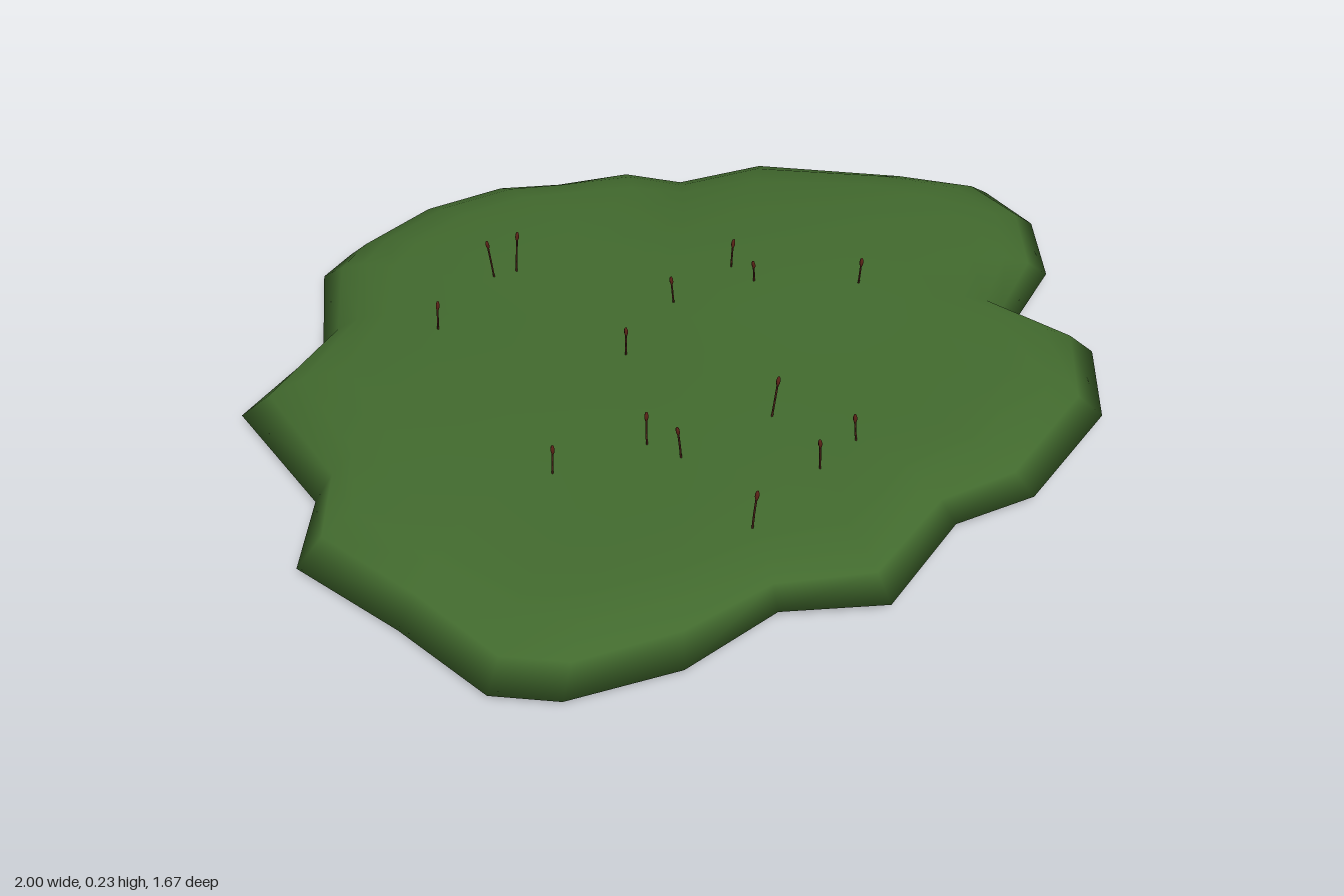
import * as THREE from 'three';

const green = new THREE.MeshStandardMaterial({ color: 0x426a2e, name: 'mossGreen' });
const brown = new THREE.MeshStandardMaterial({ color: 0x4a2418, name: 'stalkBrown' });
const rust = new THREE.MeshStandardMaterial({ color: 0x5a2216, name: 'capsuleRust' });

// Lobed outline of the patch as [x, z]
const outline = [
  [-0.11, -0.84], [0.09, -0.79], [0.21, -0.70], [0.38, -0.62], [0.46, -0.50], [0.66, -0.41],
  [0.90, -0.11], [1.0, 0.05], [0.98, 0.21], [0.83, 0.37], [0.62, 0.44], [0.67, 0.62],
  [0.50, 0.77], [0.19, 0.83], [0.02, 0.77], [-0.24, 0.83], [-0.41, 0.70], [-0.63, 0.68],
  [-0.84, 0.59], [-0.93, 0.49], [-0.95, 0.25], [-1.0, -0.01], [-0.87, -0.14], [-0.83, -0.48],
  [-0.57, -0.56], [-0.42, -0.78], [-0.32, -0.82],
];

const bump = (x, z, cx, cz, r) => Math.exp(-((x - cx) ** 2 + (z - cz) ** 2) / (r * r));

// Gently rolling upper surface
function topHeight(x, z) {
  return 0.112 + 0.022 * bump(x, z, -0.52, -0.1, 0.4) + 0.022 * bump(x, z, 0.4, 0.0, 0.36)
    + 0.008 * bump(x, z, -0.1, -0.5, 0.3) - 0.025 * bump(x, z, 0.43, -0.42, 0.13)
    - 0.02 * bump(x, z, -0.28, 0.62, 0.18);
}
const baseHeight = (x, z) => 0.013 + 0.009 * Math.sin(7 * x + 1.3) * Math.cos(6 * z - 0.6);

// Rings from the underside, around the thin rim, to the crown:
// inset from the outline, height as a share of the local thickness
const rings = [
  { inset: 0.5, t: 0 }, { inset: 0.13, t: 0 }, { inset: 0, rim: true },
  { inset: 0.055, t: 0.62 }, { inset: 0.12, t: 0.88 }, { inset: 0.21, t: 1 },
  { inset: 0.38, t: 1 }, { inset: 0.55, t: 1 }, { inset: 0.7, t: 1 }, { inset: 0.85, t: 1 },
];

function mossGeometry() {
  const n = outline.length, pos = [], index = [];
  for (const { inset, t, rim } of rings) {
    outline.forEach(([ox, oz], i) => {
      // inner rings relax towards their neighbours
      const p = outline[(i + n - 1) % n], q = outline[(i + 1) % n];
      const k = Math.min(inset * 1.2, 0.4);
      const x = (ox * (1 - k) + (p[0] + q[0]) * k / 2) * (1 - inset);
      const z = (oz * (1 - k) + (p[1] + q[1]) * k / 2) * (1 - inset);
      const low = baseHeight(x, z);
      pos.push(x, rim ? 0.033 + 0.004 * Math.sin(i * 2.1) : low + (topHeight(x, z) - low) * t, z);
    });
  }
  for (let r = 0; r < rings.length - 1; r++) {
    for (let i = 0; i < n; i++) {
      const a = r * n + i, b = r * n + (i + 1) % n;
      index.push(a, a + n, b, b, a + n, b + n);
    }
  }
  // close the underside and the crown
  const under = pos.length / 3, crown = under + 1, last = (rings.length - 1) * n;
  pos.push(0, 0.015, 0, 0, topHeight(0, 0), 0);
  for (let i = 0; i < n; i++) {
    const j = (i + 1) % n;
    index.push(under, i, j, crown, last + j, last + i);
  }
  const g = new THREE.BufferGeometry();
  g.setAttribute('position', new THREE.Float32BufferAttribute(pos, 3));
  g.setIndex(index);
  g.computeVertexNormals();
  return g;
}

// Spore stalks: x, z, tip height
const stalks = [
  [-0.53, 0.20, 0.20], [-0.41, -0.33, 0.20], [-0.21, -0.41, 0.225], [-0.145, -0.385, 0.23],
  [-0.175, 0.015, 0.20], [0.025, -0.06, 0.195], [0.22, -0.065, 0.20], [0.205, 0.015, 0.19],
  [0.38, 0.18, 0.197], [-0.33, 0.25, 0.20], [-0.315, 0.325, 0.20], [-0.075, 0.365, 0.217],
  [-0.125, 0.53, 0.185], [-0.012, 0.52, 0.178], [-0.325, 0.555, 0.19],
];

function makeStalk([x, z, tip], i) {
  const g = new THREE.Group();
  g.name = 'sporeStalk';
  const lean = 0.01 * Math.sin(i * 2.4), tilt = 0.008 * Math.cos(i * 1.7);
  const path = new THREE.CatmullRomCurve3([
    new THREE.Vector3(x - lean, 0.09, z - tilt),
    new THREE.Vector3(x - lean * 0.6, (0.09 + tip) / 2, z - tilt * 0.3),
    new THREE.Vector3(x, tip - 0.012, z),
  ]);
  const stem = new THREE.Mesh(new THREE.TubeGeometry(path, 4, 0.0022, 5), brown);
  stem.name = 'stem';
  const capsule = new THREE.Mesh(new THREE.SphereGeometry(0.0045, 6, 5), rust);
  capsule.name = 'capsule';
  capsule.scale.y = 2.6;
  capsule.position.set(x, tip - 0.012, z);
  capsule.rotation.z = -lean * 20;
  g.add(stem, capsule);
  return g;
}

export function createModel() {
  const model = new THREE.Group();
  model.name = 'mossPatch';
  const moss = new THREE.Mesh(mossGeometry(), green);
  moss.name = 'mossCushion';
  model.add(moss, ...stalks.map(makeStalk));
  return model;
}
